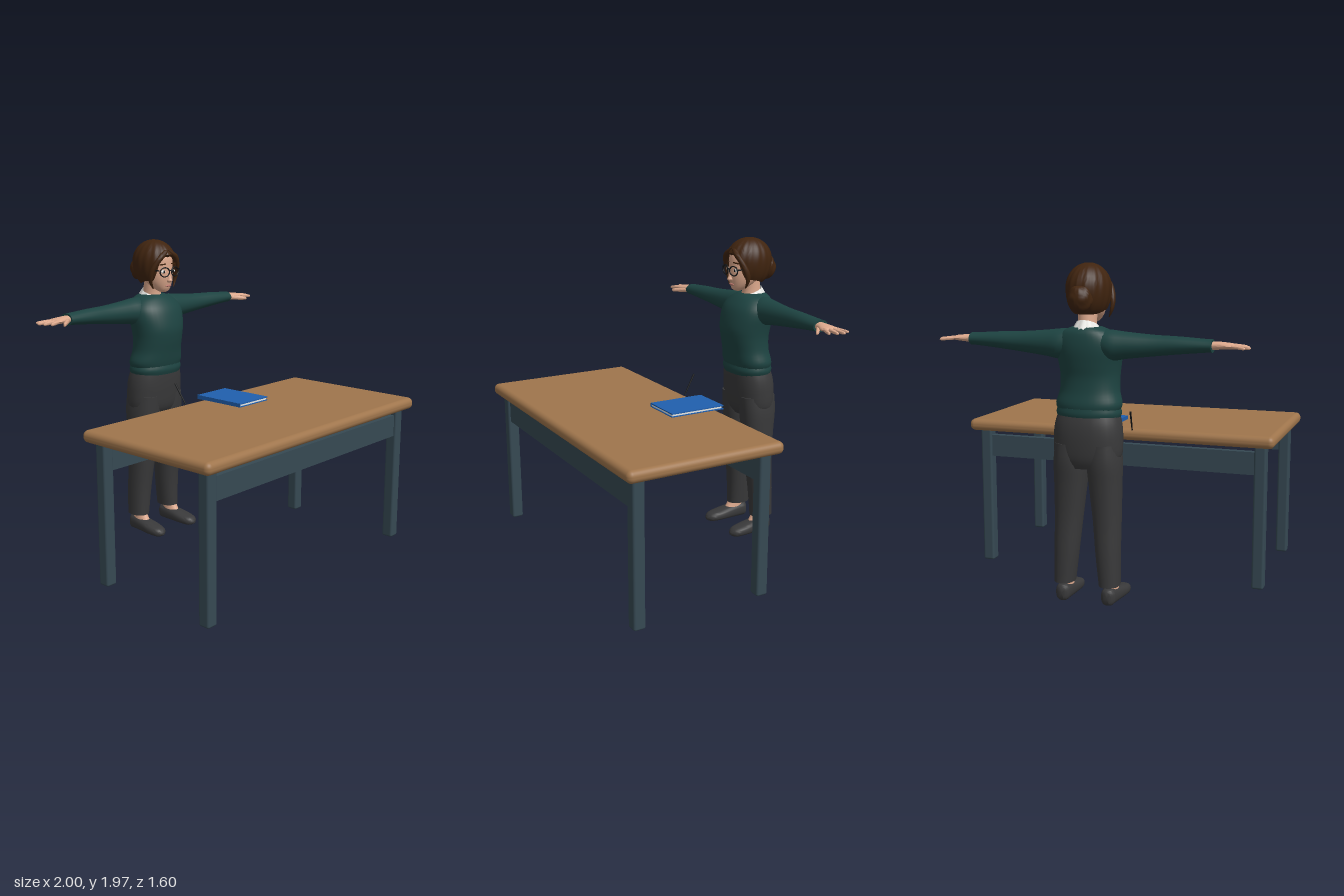
import * as THREE from 'three';
import { toCreasedNormals } from 'three/addons/utils/BufferGeometryUtils.js';
import { RoundedBoxGeometry } from 'three/addons/geometries/RoundedBoxGeometry.js';

const mat = (name, color) => Object.assign(new THREE.MeshStandardMaterial({ color }), { name });

// Skin a stack of closed rings, cap both ends, and face it outward.
function skin(rings, crease = 0.8) {
  const n = rings[0].length, pos = rings.flat(2), idx = [];
  for (let i = 0; i < rings.length - 1; i++)
    for (let j = 0; j < n; j++) {
      const a = i * n + j, b = i * n + (j + 1) % n;
      idx.push(a, b, a + n, b, b + n, a + n);
    }
  [0, rings.length - 1].forEach((r, end) => {
    const c = pos.length / 3;
    pos.push(...[0, 1, 2].map(k => rings[r].reduce((s, p) => s + p[k], 0) / n));
    for (let j = 0; j < n; j++) {
      const a = r * n + j, b = r * n + (j + 1) % n;
      if (end) idx.push(a, b, c); else idx.push(b, a, c);
    }
  });
  const v = k => new THREE.Vector3().fromArray(pos, idx[k] * 3);
  let volume = 0;
  for (let k = 0; k < idx.length; k += 3) volume += v(k).dot(v(k + 1).cross(v(k + 2)));
  if (volume < 0) idx.reverse();
  const g = new THREE.BufferGeometry();
  g.setAttribute('position', new THREE.Float32BufferAttribute(pos, 3));
  g.setIndex(idx);
  return toCreasedNormals(g, crease);
}

// Smooth loft through sections [x, y, z, halfA, halfB] lying across an axis; p squares the outline.
function loft(axis, sections, { p = 2, n = 24, sub = 4 } = {}) {
  const at = i => sections[Math.min(Math.max(i, 0), sections.length - 1)];
  const rings = [], q = (c) => Math.sign(c) * Math.abs(c) ** (2 / p);
  for (let i = 0; i <= (sections.length - 1) * sub; i++) {
    const k = Math.floor(i / sub), t = i / sub - k;
    const [x, y, z, a, b] = at(k).map((s, m) => {
      const s0 = at(k - 1)[m], s2 = at(k + 1)[m], s3 = at(k + 2)[m];
      return s + 0.5 * t * (s2 - s0 + t * (2 * s0 - 5 * s + 4 * s2 - s3 + t * (3 * (s - s2) + s3 - s0)));
    });
    rings.push(Array.from({ length: n }, (_, j) => {
      const w = j / n * Math.PI * 2, u = a * q(Math.cos(w)), v = b * q(Math.sin(w));
      return axis === 'y' ? [x + u, y, z + v] : axis === 'x' ? [x, y + u, z + v] : [x + u, y + v, z];
    }));
  }
  return skin(rings);
}
// Upright section from front and back depths.
const slice = (x, y, front, back, rx) => [x, y, (front + back) / 2, rx, (front - back) / 2];

export function createModel() {
  const wood = mat('wood', 0x9f754c), slate = mat('slate', 0x364953), blue = mat('blue', 0x205fae);
  const white = mat('white', 0xeeeeea), flesh = mat('skin', 0xdca88c), brown = mat('hair', 0x40240f);
  const green = mat('green', 0x1d4341), charcoal = mat('charcoal', 0x39393a);
  const black = mat('black', 0x151719), rose = mat('lips', 0xb9756a);
  white.side = THREE.DoubleSide;

  const model = new THREE.Group();
  const group = name => { const g = new THREE.Group(); g.name = name; model.add(g); return g; };
  const add = (parent, name, geo, material, x = 0, y = 0, z = 0) => {
    const m = new THREE.Mesh(geo, material);
    m.name = name; m.position.set(x, y, z); parent.add(m);
    return m;
  };
  const ball = (parent, name, material, x, y, z, rx, ry, rz) =>
    add(parent, name, new THREE.SphereGeometry(1, 20, 14), material, x, y, z).scale.set(rx, ry, rz);
  const box = (w, h, d) => new THREE.BoxGeometry(w, h, d);

  // Desk
  const desk = group('desk');
  add(desk, 'deskTop', new RoundedBoxGeometry(2, 0.075, 1, 4, 0.034), wood, 0, 0.922, 0.3);
  for (const z of [0.71, -0.105]) {
    add(desk, 'apron', box(1.76, 0.14, 0.045), slate, 0, 0.78, z);
    for (const s of [1, -1])
      add(desk, 'deskLeg', new RoundedBoxGeometry(0.075, 0.89, 0.075, 3, 0.014), slate, s * 0.908, 0.445, z);
  }

  // Book and pen
  const book = group('book');
  add(book, 'backCover', box(0.27, 0.007, 0.37), blue, 0.155, 0.961, -0.053);
  add(book, 'pages', box(0.258, 0.014, 0.356), white, 0.153, 0.971, -0.053);
  add(book, 'frontCover', box(0.27, 0.007, 0.37), blue, 0.155, 0.981, -0.053);
  add(book, 'spine', box(0.006, 0.026, 0.37), blue, 0.022, 0.971, -0.053);
  const top = new THREE.Vector3(-0.14, 1.08, -0.283), tip = new THREE.Vector3(-0.126, 0.955, -0.207);
  const pen = add(model, 'pen', new THREE.CylinderGeometry(0.006, 0.004, top.distanceTo(tip), 10), black);
  pen.position.copy(top).lerp(tip, 0.5);
  pen.quaternion.setFromUnitVectors(new THREE.Vector3(0, 1, 0), top.clone().sub(tip).normalize());

  // Trousers
  const body = group('body');
  add(body, 'trouserSeat', loft('y', [
    slice(0, 0.81, -0.54, -0.73, 0.14), slice(0, 0.87, -0.505, -0.75, 0.198), slice(0, 0.98, -0.49, -0.756, 0.205),
    slice(0, 1.06, -0.485, -0.75, 0.198), slice(0, 1.12, -0.485, -0.735, 0.182)], { p: 2.3 }), charcoal);
  for (const s of [1, -1]) {
    add(body, 'trouserLeg', loft('y', [
      slice(s * 0.14, 0.115, -0.575, -0.73, 0.06), slice(s * 0.129, 0.3, -0.565, -0.73, 0.071),
      slice(s * 0.119, 0.5, -0.542, -0.725, 0.081), slice(s * 0.108, 0.7, -0.522, -0.735, 0.093),
      slice(s * 0.102, 0.84, -0.508, -0.748, 0.1), slice(s * 0.1, 0.95, -0.5, -0.745, 0.09)], { p: 2.3 }), charcoal);
    // Feet
    add(body, 'ankle', loft('y', [
      slice(s * 0.142, 0.05, -0.53, -0.69, 0.042), slice(s * 0.142, 0.09, -0.56, -0.69, 0.038),
      slice(s * 0.142, 0.16, -0.6, -0.69, 0.035)]), flesh);
    add(body, 'shoe', loft('z', [
      [s * 0.15, 0.025, -0.402, 0.012, 0.01], [s * 0.15, 0.029, -0.43, 0.044, 0.028], [s * 0.148, 0.037, -0.5, 0.057, 0.036],
      [s * 0.145, 0.045, -0.58, 0.053, 0.044], [s * 0.142, 0.051, -0.66, 0.046, 0.05],
      [s * 0.142, 0.05, -0.698, 0.04, 0.049], [s * 0.142, 0.048, -0.714, 0.02, 0.035]], { p: 2.6 }), charcoal);
  }

  // Sweater
  add(body, 'sweaterHem', loft('y', [
    slice(0, 1.095, -0.482, -0.735, 0.184), slice(0, 1.125, -0.474, -0.742, 0.193),
    slice(0, 1.155, -0.48, -0.738, 0.186)], { p: 2.2 }), green);
  add(body, 'sweaterBody', loft('y', [
    slice(0, 1.14, -0.484, -0.734, 0.184), slice(0, 1.18, -0.473, -0.738, 0.196), slice(0, 1.25, -0.459, -0.725, 0.177),
    slice(0, 1.33, -0.442, -0.722, 0.174), slice(0, 1.4, -0.435, -0.733, 0.182), slice(0, 1.48, -0.45, -0.745, 0.195),
    slice(0, 1.54, -0.474, -0.745, 0.188), slice(0, 1.59, -0.515, -0.736, 0.145),
    slice(0, 1.617, -0.55, -0.715, 0.085)], { p: 2.2, n: 36 }), green);

  // Arms and hands
  for (const s of [1, -1]) {
    const along = rows => loft('x', rows.map(([x, ...r]) => [s * x, ...r]), { n: 20 });
    add(body, 'sleeve', along([
      [0.07, 1.535, -0.64, 0.07, 0.07], [0.15, 1.517, -0.64, 0.087, 0.09], [0.24, 1.518, -0.638, 0.076, 0.079],
      [0.4, 1.521, -0.632, 0.06, 0.061], [0.55, 1.526, -0.628, 0.049, 0.058],
      [0.69, 1.528, -0.625, 0.038, 0.055], [0.73, 1.528, -0.625, 0.037, 0.054]]), green);
    add(body, 'palm', along([
      [0.7, 1.528, -0.622, 0.024, 0.034], [0.75, 1.53, -0.617, 0.023, 0.038], [0.8, 1.53, -0.613, 0.019, 0.05],
      [0.84, 1.53, -0.612, 0.014, 0.051], [0.853, 1.53, -0.612, 0.006, 0.04]]), flesh);
    const finger = (name, x0, z0, x1, z1, r, y = 1.53) => {
      const row = (t, k) => [x0 + (x1 - x0) * t, y - 0.008 * t, z0 + (z1 - z0) * t, r * k, r * k];
      add(body, name, along([row(0, 1), row(0.5, 0.95), row(0.9, 0.75), row(1, 0.2)]), flesh);
    };
    finger('littleFinger', 0.825, -0.648, 0.92, -0.68, 0.01);
    finger('ringFinger', 0.83, -0.625, 0.942, -0.636, 0.012);
    finger('middleFinger', 0.83, -0.6, 0.93, -0.595, 0.012);
    finger('indexFinger', 0.825, -0.577, 0.908, -0.55, 0.012);
    finger('thumb', 0.745, -0.595, 0.835, -0.52, 0.015, 1.522);
  }

  // Neck and pointed collar
  add(body, 'neck', loft('y', [
    slice(0, 1.56, -0.55, -0.7, 0.065), slice(0, 1.63, -0.565, -0.69, 0.054), slice(0, 1.73, -0.55, -0.68, 0.055)]), flesh);
  const N = 60, collar = [], ci = [];
  for (let i = 0; i <= N; i++) {
    const a = 0.14 + i / N * (Math.PI * 2 - 0.28), f = Math.cos(a);
    const wave = Math.abs((i / 6) % 1 - 0.5) * 0.03;
    collar.push(Math.sin(a) * 0.06, 1.632 - f * 0.025, -0.63 + f * 0.068);
    collar.push(Math.sin(a) * 0.092, 1.575 - f * 0.022 + wave, -0.618 + f * 0.11);
    if (i < N) ci.push(2 * i, 2 * i + 1, 2 * i + 2, 2 * i + 1, 2 * i + 3, 2 * i + 2);
  }
  const collarGeo = new THREE.BufferGeometry();
  collarGeo.setAttribute('position', new THREE.Float32BufferAttribute(collar, 3));
  collarGeo.setIndex(ci);
  collarGeo.computeVertexNormals();
  add(body, 'collar', collarGeo, white);

  // Face
  const head = group('head');
  add(head, 'face', loft('y', [
    slice(0, 1.638, -0.505, -0.54, 0.018), slice(0, 1.652, -0.484, -0.575, 0.042), slice(0, 1.69, -0.472, -0.64, 0.072),
    slice(0, 1.74, -0.464, -0.69, 0.09), slice(0, 1.8, -0.466, -0.71, 0.096), slice(0, 1.87, -0.472, -0.71, 0.092),
    slice(0, 1.92, -0.51, -0.68, 0.06)], { n: 32 }), flesh);
  add(head, 'nose', loft('y', [
    slice(0, 1.702, -0.462, -0.5, 0.01), slice(0, 1.715, -0.442, -0.5, 0.018), slice(0, 1.735, -0.45, -0.5, 0.012),
    slice(0, 1.785, -0.464, -0.5, 0.008)], { n: 14 }), flesh);
  ball(head, 'lips', rose, 0, 1.682, -0.474, 0.026, 0.007, 0.008);
  for (const s of [1, -1]) {
    ball(head, 'eyeWhite', white, s * 0.042, 1.775, -0.476, 0.02, 0.011, 0.008);
    ball(head, 'iris', black, s * 0.041, 1.775, -0.47, 0.008, 0.01, 0.005);
    const brow = add(head, 'eyebrow', box(0.042, 0.007, 0.012), brown, s * 0.045, 1.822, -0.477);
    brow.rotation.set(0, s * 0.25, -s * 0.12);
    ball(head, 'ear', flesh, s * 0.096, 1.765, -0.595, 0.012, 0.032, 0.02);
    // Glasses
    const rim = add(head, 'glassesRim', new THREE.TorusGeometry(0.037, 0.0045, 8, 28), black, s * 0.046, 1.773, -0.458);
    rim.scale.y = 0.8;
    rim.rotation.y = s * 0.15;
    add(head, 'glassesArm', box(0.006, 0.008, 0.12), black, s * 0.094, 1.785, -0.522);
  }
  add(head, 'glassesBridge', box(0.022, 0.006, 0.006), black, 0, 1.782, -0.453);

  // Hair: a grooved shell whose lower edge rises over the forehead
  const shell = [];
  for (let i = 0; i <= 18; i++)
    shell.push(Array.from({ length: 96 }, (_, j) => {
      const a = j / 96 * Math.PI * 2, side = Math.min(a, Math.PI * 2 - a);
      const edge = 1.2 + 1.15 * THREE.MathUtils.smoothstep(side, 0.4, 1.0) + 0.25 * THREE.MathUtils.smoothstep(side, 1.2, 2.4);
      const t = edge * (0.03 + 0.97 * i / 18), c = Math.cos(t);
      const r = (c > 0 ? Math.sin(t) : Math.sin(t) ** 0.7) * (1 + 0.016 * Math.sin(a * 16 + t * 2));
      return [0.127 * r * Math.sin(a), 1.83 + c * (c > 0 ? 0.145 : 0.165), -0.603 + 0.155 * r * Math.cos(a)];
    }));
  add(head, 'hair', skin(shell, 1.1), brown);
  for (const s of [1, -1])
    add(head, 'sideStrand', loft('y', [
      [s * 0.012, 1.912, -0.485, 0.02, 0.018], [s * 0.055, 1.875, -0.474, 0.028, 0.018], [s * 0.092, 1.825, -0.492, 0.022, 0.02],
      [s * 0.114, 1.765, -0.515, 0.014, 0.02], [s * 0.11, 1.71, -0.525, 0.01, 0.014],
      [s * 0.092, 1.665, -0.52, 0.003, 0.004]], { n: 14 }), brown);

  // Bun with swirled grooves
  const bun = new THREE.SphereGeometry(1, 48, 24), bp = bun.attributes.position;
  for (let i = 0; i < bp.count; i++) {
    const x = bp.getX(i), y = bp.getY(i), z = bp.getZ(i);
    const k = 1 + 0.05 * Math.sin(Math.atan2(y, x) * 4 + z * 6) * Math.hypot(x, y);
    bp.setXYZ(i, x * k * 0.07, y * k * 0.078, z * k * 0.065);
  }
  add(head, 'bun', toCreasedNormals(bun, 1.1), brown, 0, 1.777, -0.735);

  return model;
}
